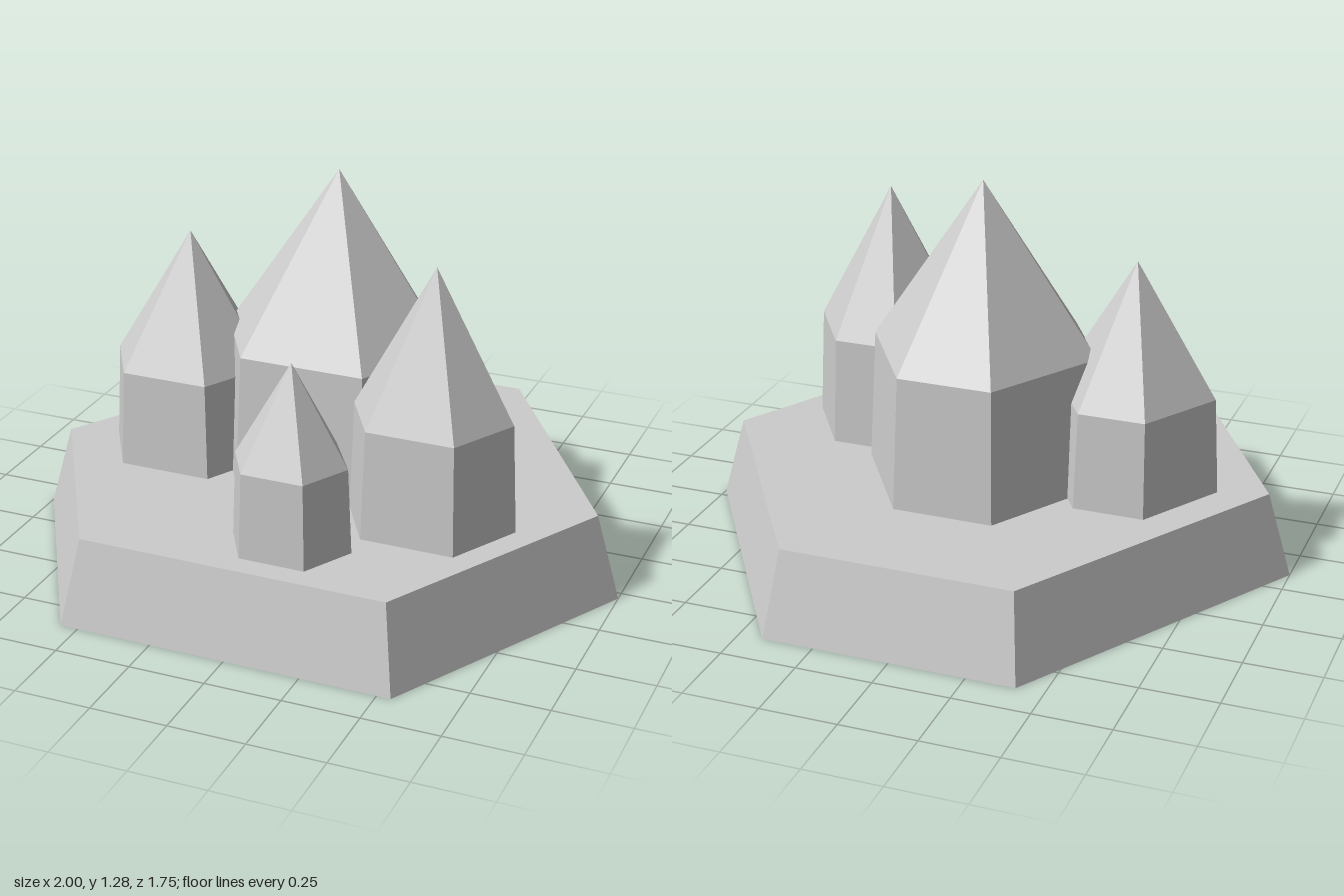
import * as THREE from 'three';

// Slightly irregular hexagon [x, z] shared by the base and all crystals
const HEX = [[1, 0], [0.545, 0.835], [-0.56, 0.825], [-1, 0.07], [-0.41, -0.915], [0.42, -0.91]];

// Facets between stacked hexagon rings [y, radius]; radius 0 closes to a point
function hexLoft(rings) {
  const pos = [];
  const corner = ([y, r], i) => [HEX[i % 6][0] * r, y, HEX[i % 6][1] * r];
  for (let k = 0; k + 1 < rings.length; k++) {
    for (let i = 0; i < 6; i++) {
      const a = corner(rings[k], i), b = corner(rings[k], i + 1);
      const c = corner(rings[k + 1], i), d = corner(rings[k + 1], i + 1);
      pos.push(...b, ...a, ...c);
      if (rings[k + 1][1] > 0) pos.push(...b, ...c, ...d);
    }
  }
  const geo = new THREE.BufferGeometry();
  geo.setAttribute('position', new THREE.Float32BufferAttribute(pos, 3));
  geo.computeVertexNormals();
  return geo;
}

export function createModel() {
  const group = new THREE.Group();
  const material = new THREE.MeshStandardMaterial({
    color: 0xcccccc, flatShading: true, side: THREE.DoubleSide,
  });
  const add = (name, rings, x, z) => {
    const mesh = new THREE.Mesh(hexLoft(rings), material);
    mesh.name = name;
    mesh.position.set(x, 0, z);
    group.add(mesh);
  };

  // Tapered base with a flat top, hollow and open underneath
  const floor = 0.28;
  add('base', [[0, 1], [floor, 0.92], [floor, 0]], 0, 0.035);

  // Crystals: name, x, z, radius, shoulder height, tip height
  const crystals = [
    ['mainCrystal', 0, -0.06, 0.4, 0.72, 1.28],
    ['rightCrystal', -0.48, 0.035, 0.28, 0.6, 1.04],
    ['leftCrystal', 0.44, 0.24, 0.275, 0.64, 1.12],
    ['smallCrystal', 0.1, 0.56, 0.195, 0.56, 0.88],
  ];
  for (const [name, x, z, r, shoulder, tip] of crystals) {
    add(name, [[floor, r], [shoulder, r * 0.94], [tip, 0]], x, z);
  }
  return group;
}
